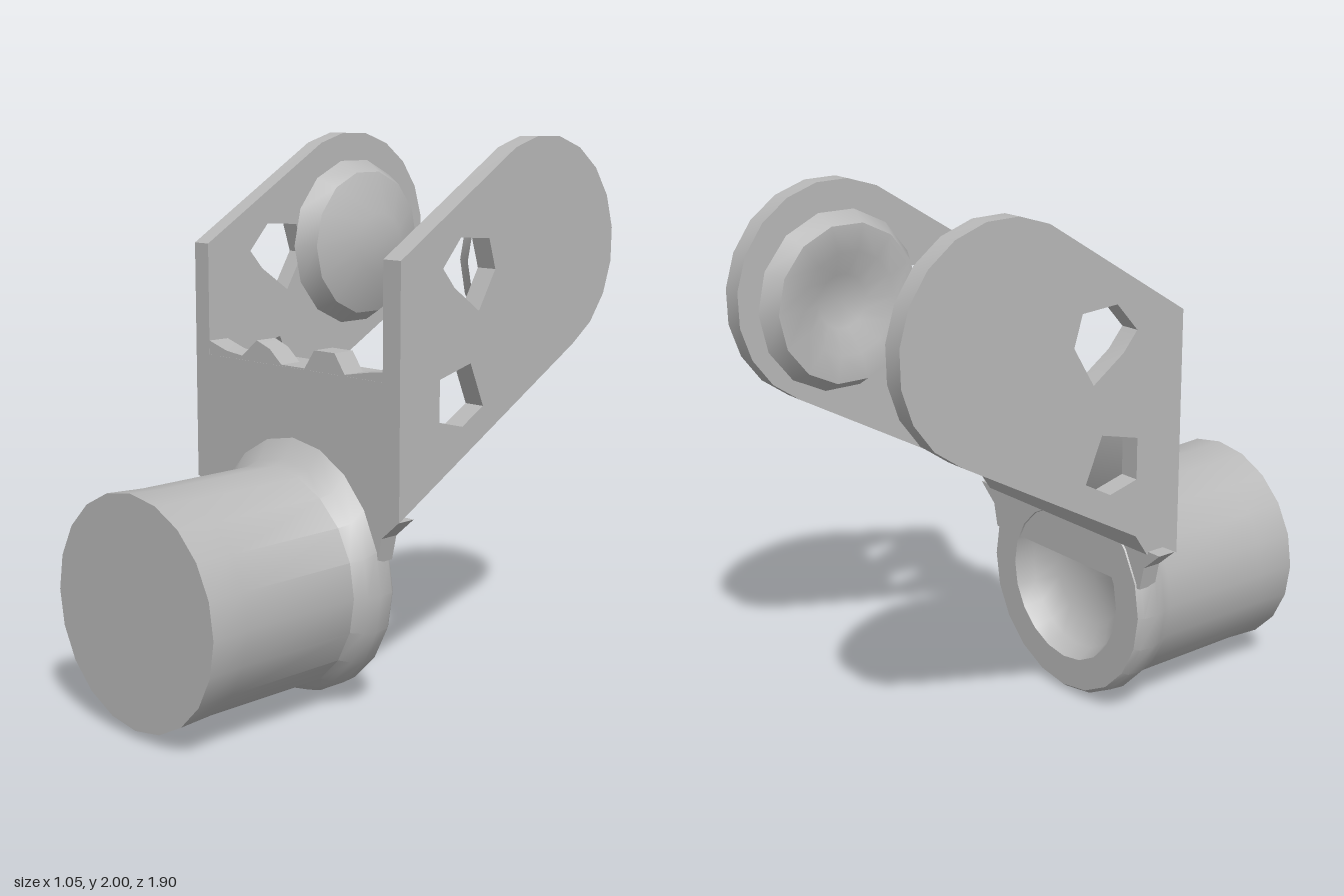
import * as THREE from 'three';
import { toCreasedNormals } from 'three/addons/utils/BufferGeometryUtils.js';

const vecs = (pts) => pts.map(([a, b]) => new THREE.Vector2(a, b));

export function createModel() {
  const model = new THREE.Group();
  model.name = 'forkBracket';
  const grey = new THREE.MeshStandardMaterial({ color: 0xb8b8b8 });
  grey.name = 'plain grey';

  const add = (name, geometry, x = 0, y = 0, z = 0) => {
    const mesh = new THREE.Mesh(toCreasedNormals(geometry, 0.6), grey);
    mesh.name = name;
    mesh.position.set(x, y, z);
    model.add(mesh);
    return mesh;
  };
  const extrude = (shape, depth) =>
    new THREE.ExtrudeGeometry(shape, { depth, bevelEnabled: false });
  // Extrudes a (z, y) outline towards -x
  const sideExtrude = (shape, depth) => extrude(shape, depth).rotateY(-Math.PI / 2);

  // Fork arm outline in (z, y): vertical front edge, slanted sides, rounded tip
  const pivotZ = -0.545, pivotY = 1.595, tipRadius = 0.405;
  const outline = [[0.22, 0.71], [0.22, 1.6]];
  for (let i = 0; i <= 10; i++) {
    const a = THREE.MathUtils.degToRad(64 + i * 18);
    outline.push([pivotZ + tipRadius * Math.cos(a), pivotY + tipRadius * Math.sin(a)]);
  }
  const arm = new THREE.Shape(vecs(outline));
  arm.holes.push(
    new THREE.Path(vecs([[0.01, 1.56], [-0.08, 1.66], [-0.23, 1.65], [-0.265, 1.54], [-0.18, 1.4], [-0.05, 1.49]])),
    new THREE.Path(vecs([[0.02, 1.18], [-0.14, 1.22], [-0.21, 1.06], [-0.1, 1.0], [0.02, 1.03]]))
  );
  add('leftArm', sideExtrude(arm, 0.08), 0.522);
  add('rightArm', sideExtrude(arm, 0.075), -0.453);

  // Pivot bosses on the inner faces: a recessed ring and a raised hub
  const boss = (profile, turn) =>
    new THREE.LatheGeometry(vecs(profile), 14).rotateZ(turn);
  add('leftBoss', boss([[0.33, 0], [0.29, 0.07], [0.19, 0.07], [0.1, 0.02], [0, 0.02]], Math.PI / 2),
    0.442, 1.565, -0.54);
  add('rightBoss', boss([[0.33, 0], [0.285, 0.078], [0.12, 0.145], [0, 0.145]], -Math.PI / 2),
    -0.453, 1.565, -0.55);

  // Cross web joining the arms, narrowing to the socket
  const web = new THREE.Shape(vecs([
    [0.22, 0.7], [0.22, 1.185], [0.03, 1.185], [0.03, 0.87], [0.08, 0.79], [0.14, 0.7]]));
  add('crossWeb', sideExtrude(web, 0.92), 0.46);
  const neck = new THREE.Shape(vecs([
    [-0.42, 0.55], [0.42, 0.55], [0.44, 0.64], [0.52, 0.71], [-0.52, 0.71], [-0.44, 0.64]]));
  add('neck', extrude(neck, 0.075), 0, 0, 0.145);

  // Uneven lip along the top of the web
  const lip = new THREE.Shape(vecs([
    [-0.46, 1.15], [0.45, 1.15], [0.45, 1.22], [0.37, 1.21], [0.26, 1.19], [0.21, 1.26], [0.11, 1.26],
    [0.06, 1.19], [-0.06, 1.19], [-0.12, 1.24], [-0.19, 1.265], [-0.27, 1.2], [-0.36, 1.21], [-0.46, 1.24]]));
  add('webLip', extrude(lip, 0.09), 0, 0, 0.129);

  // Barrel with flange, dished back and a collar that swells upwards into the web
  const barrel = new THREE.LatheGeometry(vecs([
    [0, 0.29], [0.19, 0.27], [0.27, 0.21], [0.3, 0.14], [0.42, 0.14], [0.435, 0.16],
    [0.44, 0.22], [0.425, 0.27], [0.405, 0.31], [0.404, 0.8], [0.412, 0.95], [0, 0.95]]), 20)
    .rotateX(Math.PI / 2);
  const p = barrel.attributes.position;
  for (let i = 0; i < p.count; i++) {
    const z = p.getZ(i), y = p.getY(i);
    if (y > 0 && z > 0.2 && z < 0.25 && Math.hypot(p.getX(i), y) > 0.4) p.setY(i, y * 1.13);
    if (z > 0.3) p.setX(i, p.getX(i) - 0.008);
  }
  add('barrel', barrel, 0, 0.435, 0);

  return model;
}
